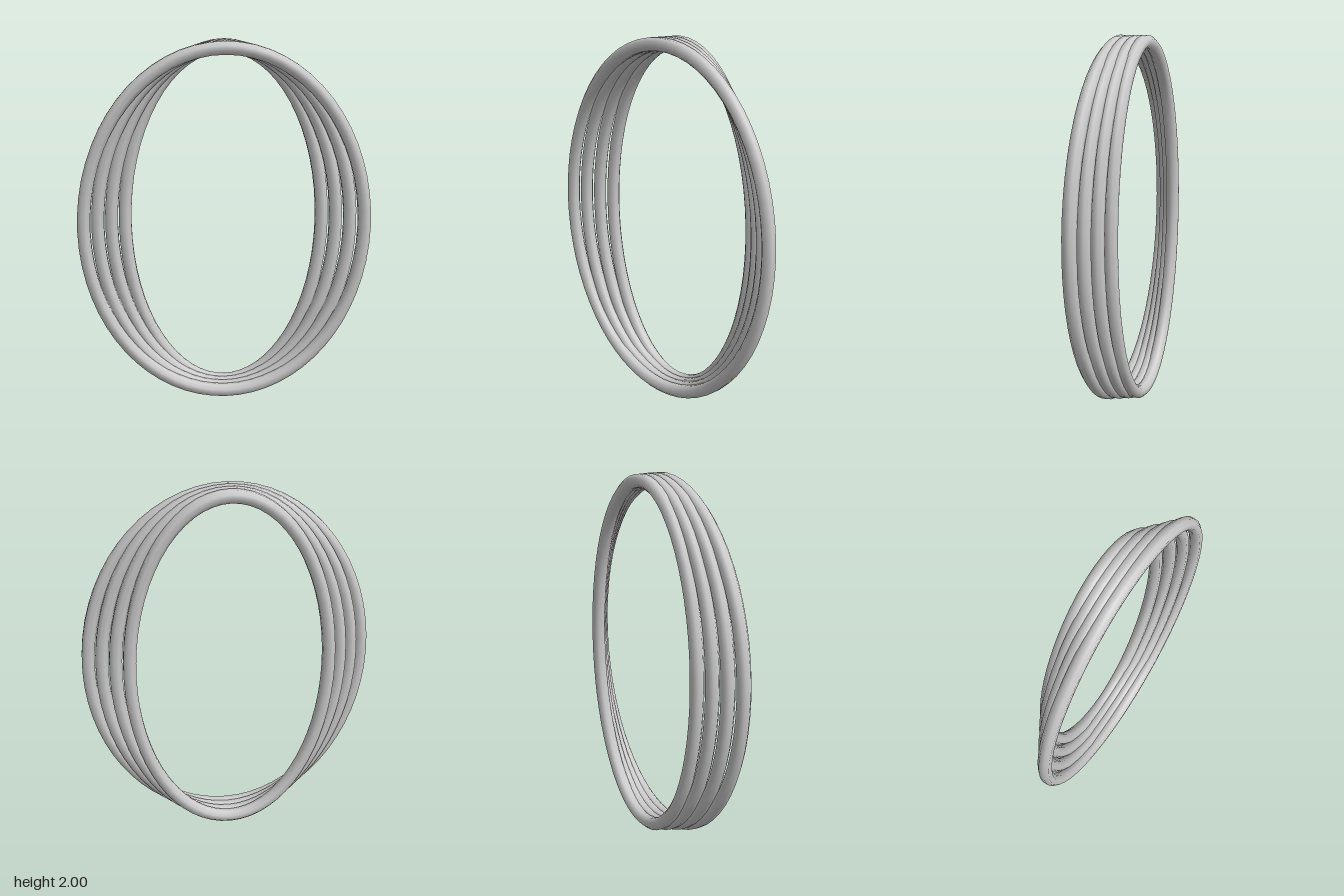
import * as THREE from 'three';
import { ParametricGeometry } from 'three/addons/geometries/ParametricGeometry.js';

const SIDES = 8;
const APOTHEM = 0.034;
const RADIUS = APOTHEM / Math.cos(Math.PI / SIDES);
const HALF_HEIGHT = 1 - APOTHEM;

// Elliptical hoop with an octagonal, smooth-shaded section of constant thickness
function hoopGeometry(halfWidth) {
  return new ParametricGeometry((u, v, target) => {
    const t = u * Math.PI * 2;
    const s = v * Math.PI * 2 + Math.PI / SIDES;
    const outward = new THREE.Vector2(Math.cos(t) * HALF_HEIGHT, Math.sin(t) * halfWidth).normalize();
    const offset = Math.cos(s) * RADIUS;
    target.set(
      halfWidth * Math.cos(t) + outward.x * offset,
      HALF_HEIGHT * Math.sin(t) + outward.y * offset,
      Math.sin(s) * RADIUS
    );
  }, 64, SIDES);
}

export function createModel() {
  const model = new THREE.Group();
  model.name = 'nestedHoops';
  const material = new THREE.MeshStandardMaterial({ color: 0xcccccc });

  // Four hoops of equal height, narrowing from front to back
  for (let i = 0; i < 4; i++) {
    const hoop = new THREE.Mesh(hoopGeometry(0.758 - i * 0.0717), material);
    hoop.name = `hoop${i + 1}`;
    hoop.position.set(0, 1, 0.064 - i * 0.0427);
    model.add(hoop);
  }
  return model;
}
